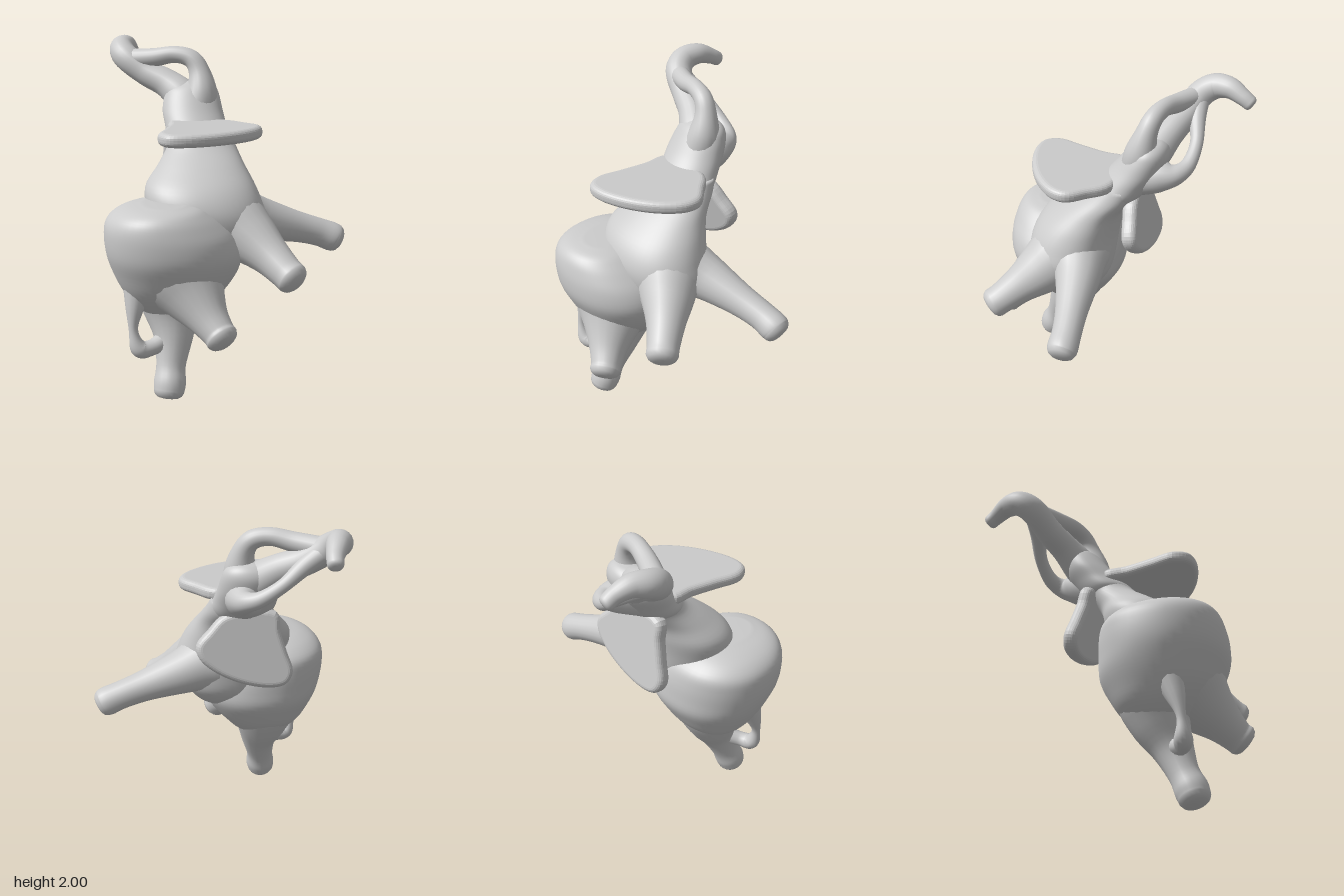
import * as THREE from 'three';

const material = new THREE.MeshStandardMaterial({ color: 0xcccccc });
const V = (x, y, z) => new THREE.Vector3(x, y, z);
const uniform = (points) => new THREE.CatmullRomCurve3(points, false, 'catmullrom', 0.5);

// Smooth closed skin over a list of rings, with a centre point at each end
function skin(name, rings) {
  const n = rings[0].length, pos = [], index = [];
  rings.forEach((ring) => ring.forEach((p) => pos.push(p.x, p.y, p.z)));
  for (let i = 0; i < rings.length - 1; i++) {
    for (let j = 0; j < n; j++) {
      const a = i * n + j, b = i * n + (j + 1) % n;
      index.push(a, b, a + n, b, b + n, a + n);
    }
  }
  [0, rings.length - 1].forEach((r) => {
    const c = rings[r].reduce((s, p) => s.add(p), V(0, 0, 0)).divideScalar(n);
    const k = pos.length / 3;
    pos.push(c.x, c.y, c.z);
    for (let j = 0; j < n; j++) {
      const a = r * n + j, b = r * n + (j + 1) % n;
      if (r === 0) index.push(k, b, a);
      else index.push(k, a, b);
    }
  });
  const geo = new THREE.BufferGeometry();
  geo.setAttribute('position', new THREE.Float32BufferAttribute(pos, 3));
  geo.setIndex(index);
  geo.computeVertexNormals();
  const mesh = new THREE.Mesh(geo, material);
  mesh.name = name;
  return mesh;
}

// Loft of level sections [y, xMin, xMax, zMin, zMax], listed from the bottom up
function loft(name, sections, power = 2, steps = 40, sides = 48) {
  const mid = uniform(sections.map(([y, a, b, c, d]) => V((a + b) / 2, y, (c + d) / 2)));
  const half = uniform(sections.map(([, a, b, c, d]) => V((b - a) / 2, 0, (d - c) / 2)));
  const round = (v) => Math.sign(v) * Math.abs(v) ** (2 / power);
  const rings = [];
  for (let i = 0; i <= steps; i++) {
    const c = mid.getPoint(i / steps), h = half.getPoint(i / steps), ring = [];
    for (let j = 0; j < sides; j++) {
      const a = (j / sides) * Math.PI * 2;
      ring.push(V(c.x + h.x * round(Math.sin(a)), c.y, c.z + h.z * round(Math.cos(a))));
    }
    rings.push(ring);
  }
  return skin(name, rings);
}

// Tapered limb through points [x, y, z, radius], softly rounded at both ends
function limb(name, points, steps = 28, sides = 20) {
  const path = uniform(points.map(([x, y, z]) => V(x, y, z)));
  const radius = uniform(points.map((p) => V(p[3], 0, 0)));
  const at = [];
  for (let i = 0; i <= steps; i++) {
    const t = i / steps;
    at.push({ c: path.getPoint(t), r: radius.getPoint(t).x, t: path.getTangent(t) });
  }
  const start = at[0], end = at[steps];
  const cap = (e, out, s) => ({ c: e.c.clone().addScaledVector(e.t, out * e.r), r: e.r * s, t: e.t });
  [[0.22, 0.88], [0.36, 0.66], [0.42, 0.35]].forEach(([out, s]) => {
    at.push(cap(end, out, s));
    at.unshift(cap(start, -out, s));
  });
  const normal = V(0.31, 0.2, 0.93);
  const rings = at.map(({ c, r, t }) => {
    normal.addScaledVector(t, -normal.dot(t)).normalize();
    const side = t.clone().cross(normal), ring = [];
    for (let j = 0; j < sides; j++) {
      const a = (j / sides) * Math.PI * 2;
      ring.push(c.clone().addScaledVector(normal, r * Math.cos(a)).addScaledVector(side, r * Math.sin(a)));
    }
    return ring;
  });
  return skin(name, rings);
}

// Flat flap with a rounded rim; length runs away from the head
function ear(name, width, length, thickness, angle, x, y, z) {
  const outline = [
    [-0.3, -0.06], [-0.32, 0.08], [-0.36, 0.24], [-0.395, 0.38], [-0.36, 0.455], [-0.27, 0.475],
    [-0.1, 0.435], [0.06, 0.345], [0.155, 0.24], [0.17, 0.16], [0.1, 0.06], [0, -0.05],
  ].map(([u, v]) => V(u * width, v * length, 0));
  const rim = new THREE.CatmullRomCurve3(outline, true).getPoints(60).slice(0, -1);
  const geo = new THREE.ExtrudeGeometry(new THREE.Shape(rim.map((p) => new THREE.Vector2(p.x, p.y))), {
    depth: thickness * 0.2, bevelThickness: thickness * 0.4, bevelSize: 0.034, bevelOffset: -0.016, bevelSegments: 5,
  });
  geo.translate(0, 0, -thickness * 0.1);
  geo.rotateX(angle);
  geo.translate(x, y, z);
  const mesh = new THREE.Mesh(geo, material);
  mesh.name = name;
  return mesh;
}

export function createModel() {
  const model = new THREE.Group();
  model.name = 'elephant';

  // Body masses
  model.add(
    loft('hips', [
      [0.46, -0.42, -0.24, 0.2, 0.36], [0.49, -0.5, -0.17, 0.14, 0.41], [0.56, -0.58, -0.1, 0.06, 0.49],
      [0.65, -0.635, -0.02, 0, 0.57], [0.75, -0.68, 0.04, -0.05, 0.625], [0.85, -0.71, 0.055, -0.055, 0.665],
      [0.95, -0.72, 0.02, -0.05, 0.67], [1.03, -0.71, -0.05, -0.03, 0.655], [1.085, -0.665, -0.12, 0.03, 0.63],
      [1.12, -0.59, -0.18, 0.1, 0.585], [1.14, -0.49, -0.26, 0.18, 0.5],
    ], 2.15),
    loft('chest', [
      [0.71, -0.12, 0, 0.12, 0.26], [0.75, -0.24, 0.08, 0.06, 0.33], [0.81, -0.32, 0.135, 0, 0.39],
      [0.88, -0.38, 0.18, -0.035, 0.435],
      [1, -0.45, 0.215, -0.05, 0.46], [1.1, -0.48, 0.19, -0.06, 0.45], [1.2, -0.475, 0.15, -0.08, 0.39],
      [1.3, -0.4, 0.1, -0.11, 0.27], [1.4, -0.335, 0.06, -0.18, 0.13], [1.48, -0.33, 0.03, -0.22, 0.05],
    ], 2.15),
    loft('head', [
      [1.36, -0.27, 0, -0.16, 0.06], [1.42, -0.335, 0.035, -0.22, 0.1], [1.5, -0.345, 0.02, -0.28, 0.03],
      [1.58, -0.355, 0.005, -0.33, -0.04], [1.66, -0.34, -0.01, -0.35, -0.1],
      [1.71, -0.31, -0.03, -0.34, -0.14], [1.74, -0.24, -0.07, -0.31, -0.18], [1.75, -0.19, -0.12, -0.27, -0.22],
    ]),
  );

  // Legs
  model.add(
    limb('rightForeleg', [[-0.1, 1.02, 0.19, 0.22], [0.01, 0.985, 0.25, 0.205], [0.11, 0.915, 0.345, 0.16],
      [0.2, 0.84, 0.45, 0.115], [0.27, 0.775, 0.54, 0.095], [0.305, 0.745, 0.585, 0.093]]),
    limb('leftForeleg', [[-0.12, 1.02, 0.16, 0.2], [0.04, 1, 0.13, 0.18], [0.18, 0.965, 0.09, 0.137],
      [0.4, 0.905, 0.055, 0.097], [0.55, 0.86, 0.035, 0.085], [0.64, 0.825, 0.03, 0.088], [0.67, 0.81, 0.03, 0.083]]),
    limb('rightHindLeg', [[-0.36, 0.85, 0.31, 0.3], [-0.31, 0.76, 0.385, 0.265], [-0.235, 0.645, 0.48, 0.19],
      [-0.165, 0.54, 0.58, 0.12], [-0.115, 0.475, 0.645, 0.093], [-0.095, 0.45, 0.675, 0.092]]),
    limb('leftHindLeg', [[-0.35, 0.78, 0.27, 0.28], [-0.35, 0.64, 0.26, 0.23], [-0.345, 0.5, 0.285, 0.17],
      [-0.34, 0.35, 0.345, 0.115], [-0.36, 0.2, 0.405, 0.085], [-0.37, 0.11, 0.445, 0.092],
      [-0.378, 0.055, 0.465, 0.086]]),
  );

  // Tail curling back onto the hind leg
  model.add(limb('tail', [[-0.53, 0.72, 0.36, 0.1], [-0.56, 0.55, 0.42, 0.052], [-0.57, 0.43, 0.45, 0.026],
    [-0.54, 0.325, 0.45, 0.05], [-0.47, 0.315, 0.425, 0.046], [-0.39, 0.34, 0.37, 0.055]], 36, 14));

  // Ears, one held level and one hanging
  model.add(
    ear('leftEar', 1, 1, 0.075, Math.PI / 2, 0, 1.5, 0),
    ear('rightEar', 0.92, 0.77, 0.09, Math.PI + 0.2, -0.045, 1.365, -0.17),
  );

  // Raised trunk, with a tusk on each side running into it
  model.add(
    limb('trunk', [[-0.17, 1.57, -0.2, 0.1], [-0.23, 1.65, -0.25, 0.105], [-0.32, 1.725, -0.31, 0.087],
      [-0.44, 1.785, -0.37, 0.08], [-0.555, 1.87, -0.43, 0.08], [-0.585, 1.92, -0.51, 0.074],
      [-0.555, 1.935, -0.6, 0.062], [-0.525, 1.905, -0.68, 0.048], [-0.515, 1.875, -0.73, 0.043]], 48),
    limb('leftTusk', [[-0.15, 1.55, -0.18, 0.11], [-0.12, 1.68, -0.195, 0.095], [-0.13, 1.8, -0.22, 0.065],
      [-0.175, 1.875, -0.245, 0.055], [-0.27, 1.9, -0.28, 0.05], [-0.39, 1.88, -0.33, 0.055],
      [-0.53, 1.865, -0.41, 0.06]], 40),
    limb('rightTusk', [[-0.15, 1.52, -0.18, 0.12], [-0.12, 1.555, -0.31, 0.095], [-0.125, 1.575, -0.4, 0.06],
      [-0.195, 1.61, -0.455, 0.044], [-0.31, 1.69, -0.472, 0.038], [-0.43, 1.785, -0.445, 0.05],
      [-0.55, 1.865, -0.43, 0.06]], 40),
  );

  return model;
}
